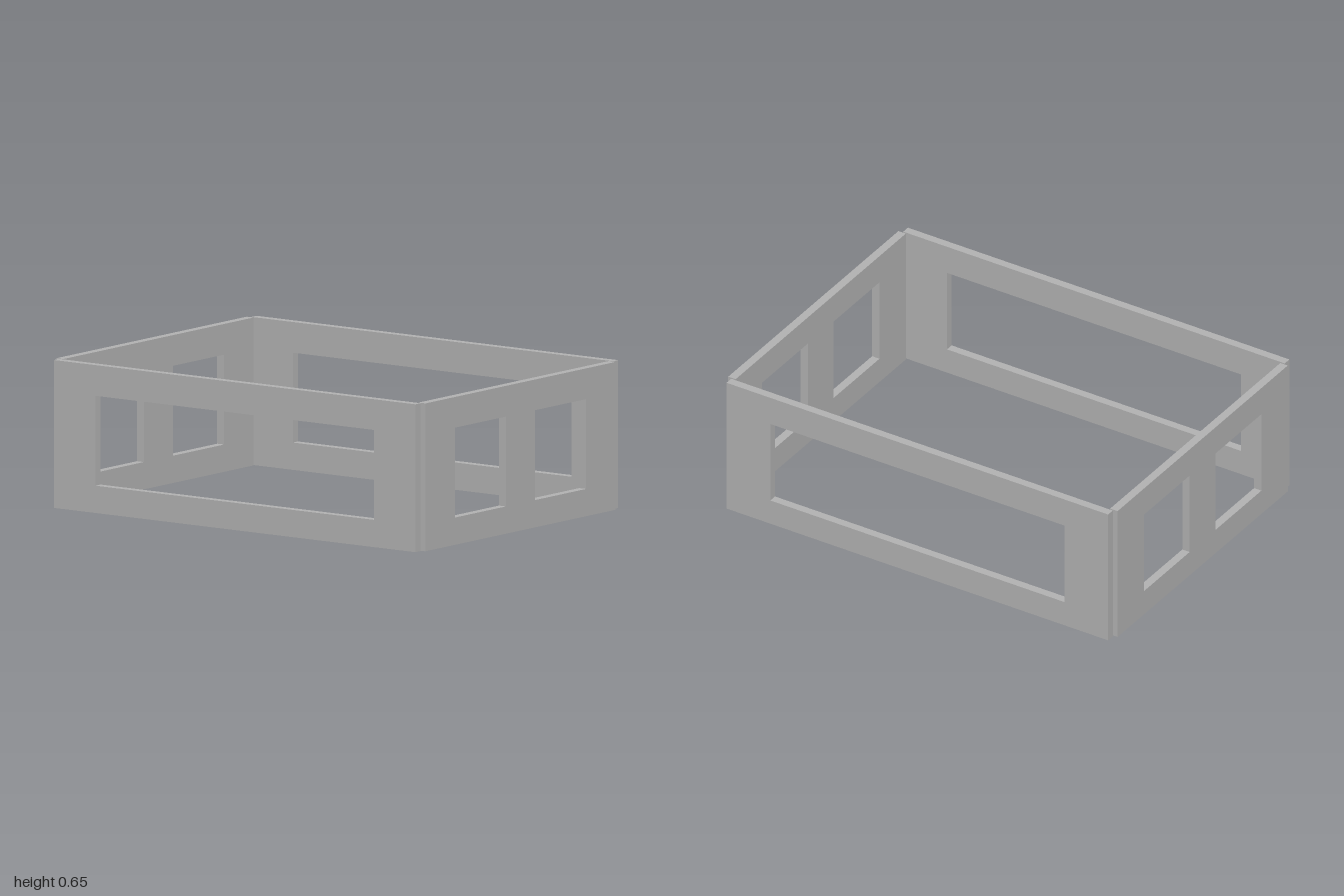
import * as THREE from 'three';

const HEIGHT = 0.65, SILL = 0.12, LINTEL = 0.515, THICK = 0.038;

// Upright wall panel, centred on its own thickness, with window openings [from, to]
function wallGeometry(halfWidth, windows) {
  const shape = new THREE.Shape();
  shape.moveTo(-halfWidth, 0).lineTo(halfWidth, 0).lineTo(halfWidth, HEIGHT).lineTo(-halfWidth, HEIGHT).closePath();
  for (const [a, b] of windows) {
    const hole = new THREE.Path();
    hole.moveTo(a, SILL).lineTo(a, LINTEL).lineTo(b, LINTEL).lineTo(b, SILL).closePath();
    shape.holes.push(hole);
  }
  return new THREE.ExtrudeGeometry(shape, { depth: THICK, bevelEnabled: false }).translate(0, 0, -THICK / 2);
}

export function createModel() {
  const group = new THREE.Group();
  group.name = 'wallFrame';
  const wallGrey = new THREE.MeshStandardMaterial({ color: 0xb2b2b2 });
  wallGrey.name = 'wallGrey';

  // Long walls have one wide window, side walls have two square ones
  const longWall = wallGeometry(0.98, [[-0.755, 0.755]]);
  const sideWall = wallGeometry(0.688, [[-0.475, -0.105], [0.105, 0.475]]).rotateY(Math.PI / 2);

  const add = (name, geometry, x, z) => {
    const mesh = new THREE.Mesh(geometry, wallGrey);
    mesh.name = name;
    mesh.position.set(x, 0, z);
    group.add(mesh);
  };
  // Narrow gaps remain between the panels at the corners
  add('frontWall', longWall, 0, 0.714);
  add('backWall', longWall, 0, -0.714);
  add('leftWall', sideWall, 1 - THICK / 2, 0);
  add('rightWall', sideWall, -1 + THICK / 2, 0);
  return group;
}
